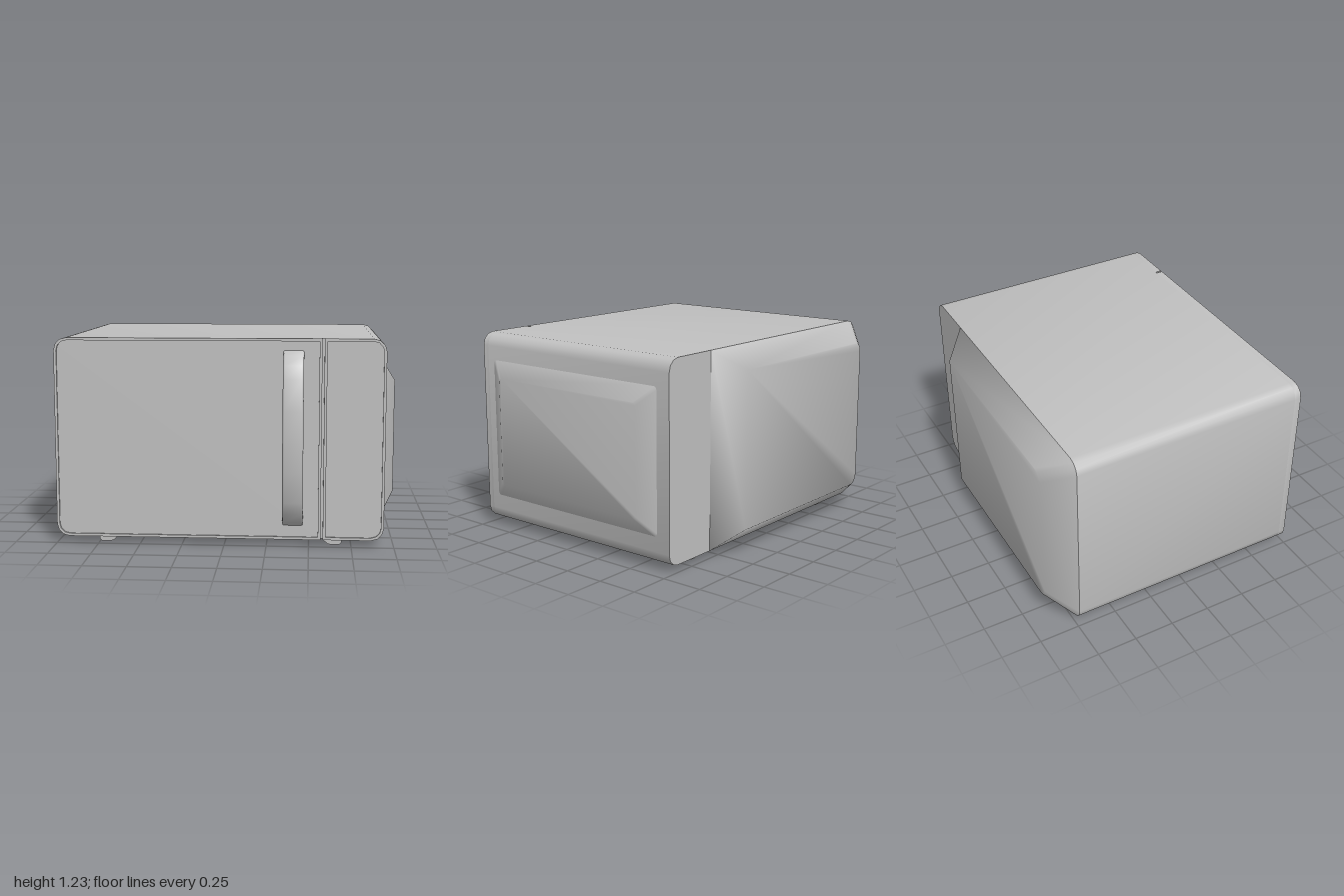
import * as THREE from 'three';
import { toCreasedNormals } from 'three/addons/utils/BufferGeometryUtils.js';

// Counter-clockwise rectangle from the top left, with separate left and right corner radii
function outline(x0, x1, y0, y1, rl = 0, rr = 0) {
  const corners = [[x0 + rl, y1 - rl, rl, 1], [x0 + rl, y0 + rl, rl, 2], [x1 - rr, y0 + rr, rr, 3], [x1 - rr, y1 - rr, rr, 4]];
  const pts = [];
  for (const [cx, cy, r, quarter] of corners) {
    const steps = r > 0 ? 3 : 0;
    for (let i = 0; i <= steps; i++) {
      const a = (quarter + (steps ? i / steps : 0)) * Math.PI / 2;
      pts.push(new THREE.Vector2(cx + r * Math.cos(a), cy + r * Math.sin(a)));
    }
  }
  return pts;
}

// Straight extrusion between two depths, optionally with one hole
function slab(points, z0, z1, hole) {
  const shape = new THREE.Shape(points);
  if (hole) shape.holes.push(new THREE.Path(hole));
  const geo = new THREE.ExtrudeGeometry(shape, { depth: z1 - z0, bevelEnabled: false });
  geo.translate(0, 0, z0);
  return toCreasedNormals(geo, 0.7);
}

// Tapered raised panel facing +z: the base outline shrinks to the top rectangle
function raisedPanel(points, base, top, height) {
  const map = (v, a0, a1, b0, b1) => b0 + (v - a0) / (a1 - a0) * (b1 - b0);
  const n = points.length, pos = [], index = [];
  for (const p of points) pos.push(p.x, p.y, 0);
  for (const p of points) {
    pos.push(map(p.x, base[0], base[1], top[0], top[1]), map(p.y, base[2], base[3], top[2], top[3]), height);
  }
  for (let i = 0; i < n; i++) {
    const j = (i + 1) % n;
    index.push(i, j, n + j, i, n + j, n + i);
    if (i > 0 && i < n - 1) index.push(n, n + i, n + i + 1);
  }
  const geo = new THREE.BufferGeometry();
  geo.setAttribute('position', new THREE.Float32BufferAttribute(pos, 3));
  geo.setIndex(index);
  return toCreasedNormals(geo, 1.2);
}

export function createModel() {
  const model = new THREE.Group();
  const grey = new THREE.MeshStandardMaterial({ color: 0xc0c0c0 });
  grey.name = 'grey enamel';
  const add = (name, geo) => {
    const mesh = new THREE.Mesh(geo, grey);
    mesh.name = name;
    model.add(mesh);
    return mesh;
  };
  const L = -1, R = 0.94, B = 0.04, T = 1.226, r = 0.075, rim = 0.016;

  // Case
  add('case', slab(outline(L, R, B, T, r, r), -0.74, 0.7));

  // Door and control panel, each with a thin raised rim and a groove between them
  const fronts = [['door', L, 0.57, r, 0], ['controlPanel', 0.583, R, 0, r]];
  for (const [name, x0, x1, rl, rr] of fronts) {
    const outer = outline(x0, x1, B, T, rl, rr);
    const inner = outline(x0 + rim, x1 - rim, B + rim, T - rim, rl && rl - rim, rr && rr - rim);
    add(name, slab(outer, 0.7, 0.73));
    add(name + 'Rim', slab(outer, 0.73, 0.74, inner));
  }

  // Rear housing
  const rear = [-0.57, 1, B, T];
  add('rearHousing', raisedPanel(outline(...rear, 0, r), rear, [-0.42, 0.84, 0.16, 1.11], 0.147))
    .rotateY(Math.PI).position.z = -0.74;

  // Embossed side panel
  const side = [-0.65, 0.65, 0.205, 1.065];
  add('sidePanel', raisedPanel(outline(...side, 0.02, 0.02), side, [-0.545, 0.545, 0.3, 0.97], 0.06))
    .rotateY(Math.PI / 2).position.x = R;

  // Bowed handle: profile in depth and height, swept across its width
  const outerBow = [[0.725, 1.16], [0.765, 1.13], [0.806, 1.075], [0.842, 1.0], [0.87, 0.82], [0.882, 0.64]];
  const innerBow = [[0.725, 1.1], [0.765, 1.07], [0.795, 1.015], [0.82, 0.82], [0.83, 0.64]];
  const mirrorY = ([z, y]) => [z, 1.28 - y];
  const bow = [...outerBow, ...outerBow.slice(0, -1).reverse().map(mirrorY),
    ...innerBow.map(mirrorY), ...innerBow.slice(0, -1).reverse()];
  const bevel = 0.01;
  const handle = new THREE.ExtrudeGeometry(new THREE.Shape(bow.map(([z, y]) => new THREE.Vector2(z, y))), {
    depth: 0.12 - 2 * bevel, bevelThickness: bevel, bevelSize: bevel, bevelOffset: -bevel, bevelSegments: 2,
  });
  handle.rotateY(-Math.PI / 2);
  handle.translate(0.465 - bevel, 0, 0);
  add('handle', toCreasedNormals(handle, 0.9));

  // Four tapered feet, mirrored about the case centre
  const foot = [[0.58, 0.045], [0.585, 0.03], [0.612, 0.004], [0.63, 0], [0.68, 0], [0.694, 0.012], [0.697, 0.045]];
  for (const z of [-0.645, 0.65]) {
    for (const s of [-1, 1]) {
      const pts = foot.map(([x, y]) => new THREE.Vector2(s > 0 ? x : L + R - x, y));
      add('foot', slab(pts, z - 0.035, z + 0.035));
    }
  }
  return model;
}
